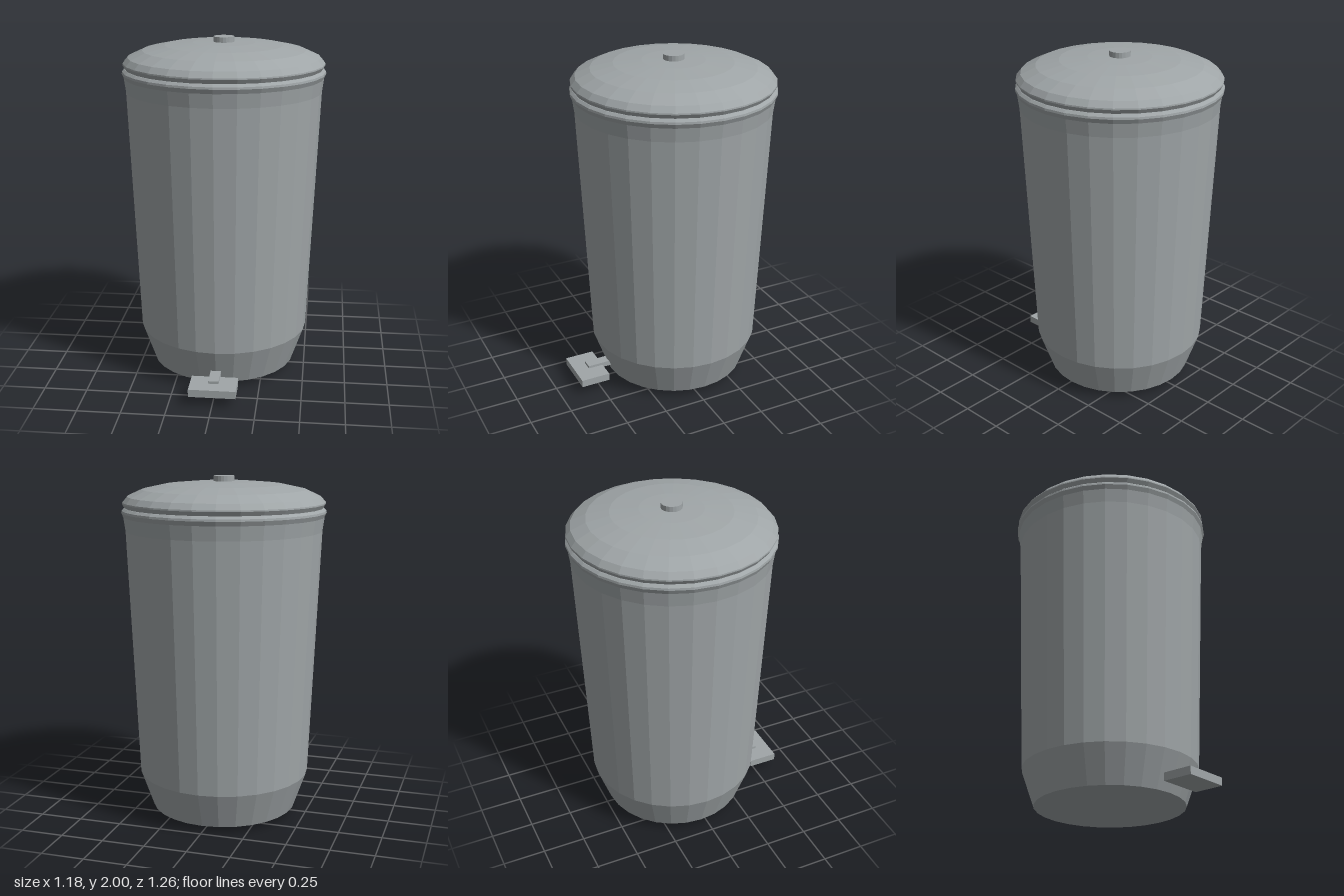
import * as THREE from 'three';

const SIDES = 28;
const CENTRE_Z = -0.043;

export function createModel() {
  const model = new THREE.Group();
  model.name = 'pedalBin';

  const steel = new THREE.MeshStandardMaterial({ color: 0xa0a6a8, flatShading: true });
  steel.name = 'brushed grey';

  const add = (name, geometry, x, y, z) => {
    const mesh = new THREE.Mesh(geometry, steel);
    mesh.name = name;
    mesh.position.set(x, y, z);
    model.add(mesh);
  };
  const lathe = (points) =>
    new THREE.LatheGeometry(points.map(([r, y]) => new THREE.Vector2(r, y)), SIDES);

  // Tapered bucket with a shallow pointed base and flared rim
  add('body', lathe([
    [0, 0], [0.428, 0.037], [0.503, 0.25], [0.566, 1.69], [0.577, 1.77],
    [0.588, 1.795], [0.586, 1.807], [0.572, 1.82], [0.555, 1.825],
  ]), 0, 0, CENTRE_Z);

  // Domed lid with a turned-in lower edge
  add('lid', lathe([
    [0, 1.822], [0.57, 1.822], [0.583, 1.845], [0.582, 1.853], [0.555, 1.885],
    [0.47, 1.924], [0.34, 1.952], [0.18, 1.966], [0, 1.971],
  ]), 0, 0, CENTRE_Z);

  // Round knob on the lid
  add('knob', new THREE.CylinderGeometry(0.06, 0.06, 0.045, 20), 0, 1.9775, CENTRE_Z);

  // Foot pedal and the arm that joins it to the body
  add('pedal', new THREE.BoxGeometry(0.27, 0.045, 0.175), 0, 0.08, 0.5425);
  add('pedalArm', new THREE.BoxGeometry(0.06, 0.032, 0.21), 0, 0.102, 0.44);

  return model;
}
